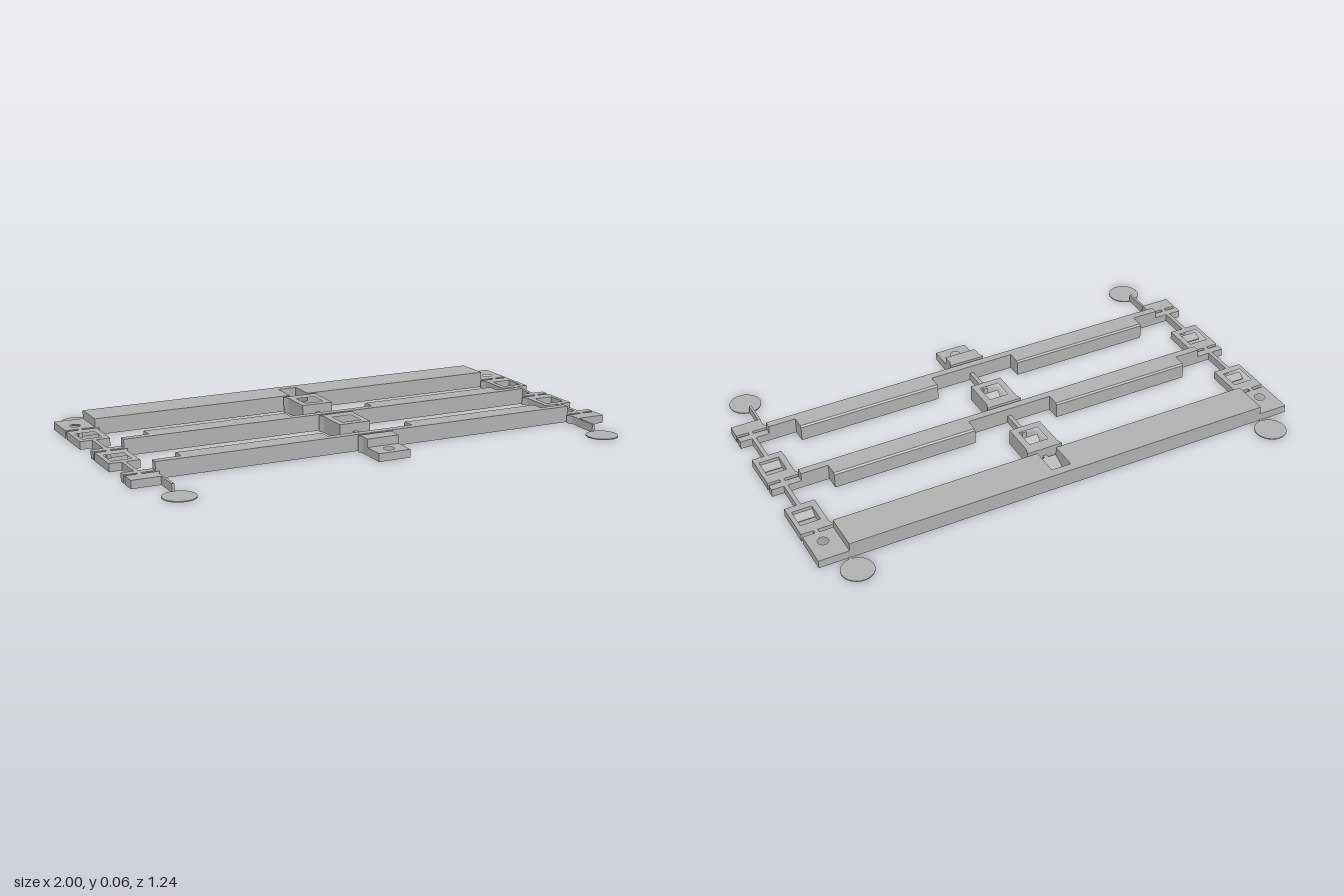
import * as THREE from 'three';

const HIGH = 0.065, LOW = 0.032;

export function createModel() {
  const model = new THREE.Group();
  model.name = 'railFrame';
  const grey = new THREE.MeshStandardMaterial({ color: 0xb0b0b0 });
  grey.name = 'grey';

  const add = (name, geometry) => {
    const mesh = new THREE.Mesh(geometry, grey);
    mesh.name = name;
    model.add(mesh);
    return mesh;
  };
  const toPlan = pts => pts.map(([x, z]) => new THREE.Vector2(x, -z));
  const rect = (x0, x1, z0, z1) => [[x0, z0], [x1, z0], [x1, z1], [x0, z1]];
  const circle = (x, z, r) => Array.from({ length: 24 }, (_, i) => {
    const a = i / 24 * Math.PI * 2;
    return [x + r * Math.cos(a), z + r * Math.sin(a)];
  });
  // plan outline in x,z raised from the ground
  const slab = (name, outline, height, holes = []) => {
    const shape = new THREE.Shape(toPlan(outline));
    shape.holes = holes.map(h => new THREE.Path(toPlan(h)));
    const g = new THREE.ExtrudeGeometry(shape, { depth: height, bevelEnabled: false });
    return add(name, g.rotateX(-Math.PI / 2));
  };
  // side profile in z,y swept along x
  const sweep = (name, profile, x0, x1) => {
    const shape = new THREE.Shape(profile.map(([z, y]) => new THREE.Vector2(-z, y)));
    const g = new THREE.ExtrudeGeometry(shape, { depth: x1 - x0, bevelEnabled: false });
    return add(name, g.rotateY(Math.PI / 2).translate(x0, 0, 0));
  };
  const ramp = (x, z0, z1, h) =>
    sweep('ramp', [[z0, 0], [z1, 0], [z1, h], [z0, 0.004]], x - 0.04, x + 0.04);

  // wide rear beam with a notch in its front edge and low drilled ends
  slab('rearBeam', [[-0.88, -0.49], [0.88, -0.49], [0.88, -0.342], [0.04, -0.342],
    [0.04, -0.455], [-0.04, -0.455], [-0.04, -0.342], [-0.88, -0.342]], HIGH);
  ramp(0, -0.4, -0.342, LOW);
  for (const s of [-1, 1]) {
    const [a, b] = s < 0 ? [-1, -0.88] : [0.88, 1];
    slab('beamEnd', rect(a, b, -0.49, -0.342), LOW, [circle(s * 0.943, -0.396, 0.021)]);
  }

  // two slim crossbars, each with two wider sections chamfered at the back
  for (const front of [-0.01, 0.32]) {
    slab('crossbar', rect(-0.88, 0.88, front - 0.03, front), HIGH);
    for (const s of [-1, 1]) {
      const [a, b] = s < 0 ? [-1, -0.88] : [0.88, 1];
      slab('crossbarEnd', rect(a, b, front - 0.03, front), LOW);
      const [c, d] = s < 0 ? [-0.77, -0.18] : [0.18, 0.77];
      const back = front - 0.088;
      sweep('wideSection', [[back, 0], [front - 0.03, 0], [front - 0.03, HIGH],
        [back + 0.007, HIGH], [back, HIGH - 0.006]], c, d);
    }
  }

  // clip outlines, flared at the back
  const centreOutline = (z0, z1) => [[-0.075, z0], [0.075, z0], [0.066, z0 + 0.025],
    [0.066, z1], [-0.066, z1], [-0.066, z0 + 0.025]];
  const sideOutline = (s, z0, z1) => [[s, z0], [s * 0.868, z0], [s * 0.88, z0 + 0.025],
    [s * 0.88, z1], [s, z1]];

  // open clips with a ramp inside
  for (const z of [-0.327, 0.003]) {
    const hole = x => [rect(x - 0.04, x + 0.04, z + 0.048, z + 0.132)];
    slab('centreClip', centreOutline(z, z + 0.162), HIGH, hole(0));
    ramp(0, z + 0.102, z + 0.132, LOW);
    for (const s of [-1, 1]) {
      slab('sideClip', sideOutline(s, z, z + 0.162), LOW, hole(s * 0.943));
      ramp(s * 0.943, z + 0.102, z + 0.132, LOW * 0.6);
    }
  }

  // front clips: stepped and drilled in the middle, plain at the sides
  slab('frontClip', centreOutline(0.333, 0.395), HIGH);
  slab('frontTab', rect(-0.066, 0.066, 0.395, 0.487), LOW, [circle(0, 0.44, 0.021)]);
  for (const s of [-1, 1]) slab('frontSideClip', sideOutline(s, 0.333, 0.395), LOW);

  // thin stems joining bars and clips
  for (const x of [-0.943, 0, 0.943]) {
    for (const [z0, z1] of [[-0.342, -0.327], [-0.165, -0.04], [-0.01, 0.003],
      [0.165, 0.29], [0.32, 0.333]]) {
      slab('stem', rect(x - 0.008, x + 0.008, z0, z1), LOW);
    }
  }

  // corner pads on thin arms
  for (const s of [-1, 1]) {
    for (const [z, arm0, arm1] of [[0.556, 0.395, 0.497], [-0.562, -0.503, -0.49]]) {
      slab('cornerPad', circle(s * 0.882, z, 0.063), 0.004);
      slab('padArm', rect(s * 0.882 - 0.005, s * 0.882 + 0.005, arm0, arm1), z > 0 ? LOW : 0.004);
    }
  }
  return model;
}
